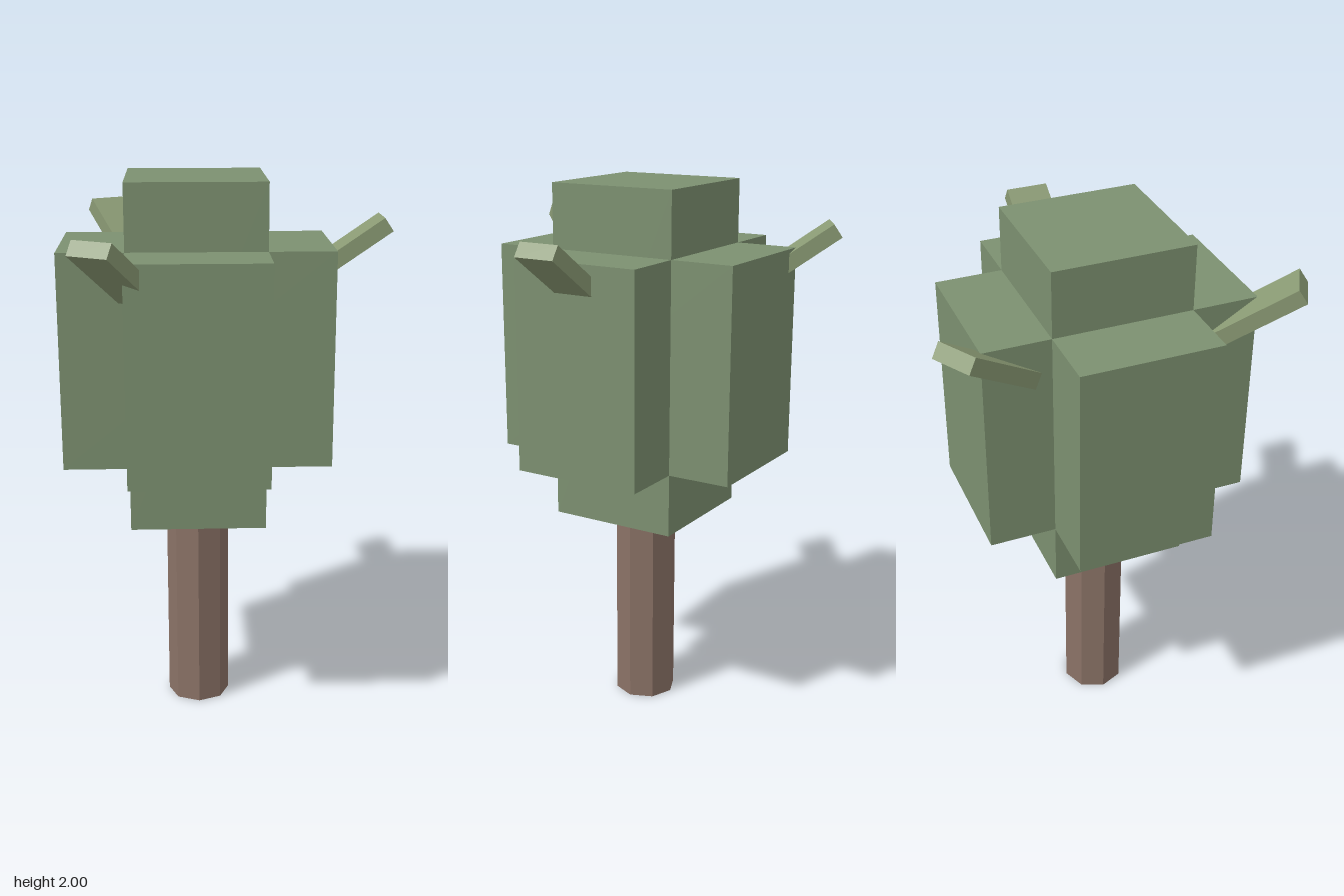
import * as THREE from 'three';

export function createModel() {
  const model = new THREE.Group();
  model.name = 'blockyTree';

  // Everything is arranged around the trunk axis
  const tree = new THREE.Group();
  tree.name = 'tree';
  tree.position.x = -0.112;
  model.add(tree);

  const material = (color) => new THREE.MeshStandardMaterial({ color, flatShading: true });
  const bark = material(0x8a7266);
  const leaf = material(0x7c9070);
  const shoot = material(0x8a9a74);

  const add = (parent, name, geometry, mat, x, y, z) => {
    const mesh = new THREE.Mesh(geometry, mat);
    mesh.name = name;
    mesh.position.set(x, y, z);
    parent.add(mesh);
    return mesh;
  };

  // Eight-sided trunk
  add(tree, 'trunk', new THREE.CylinderGeometry(0.116, 0.116, 0.8, 8), bark, 0, 0.4, 0);

  // Crown: a tall core crossed by two wide blocks
  const core = 0.486, wide = 0.953, midY = 1.385;
  add(tree, 'crownCore', new THREE.BoxGeometry(core, 1.23, core), leaf, 0, midY, 0);
  add(tree, 'crownSideBlock', new THREE.BoxGeometry(wide, 0.766, core), leaf, 0, midY, 0);
  add(tree, 'crownFrontBlock', new THREE.BoxGeometry(core, 0.766, wide), leaf, 0, midY, 0);

  // Three rising branches, evenly spaced around the crown
  const branchGeometry = new THREE.BoxGeometry(0.355, 0.056, 0.15);
  for (let i = 0; i < 3; i++) {
    const arm = new THREE.Group();
    arm.name = `branchArm${i + 1}`;
    arm.rotation.y = (i * Math.PI * 2) / 3;
    add(arm, 'branch', branchGeometry, shoot, 0.53, 1.733, 0).rotation.z = 0.6;
    tree.add(arm);
  }

  return model;
}
